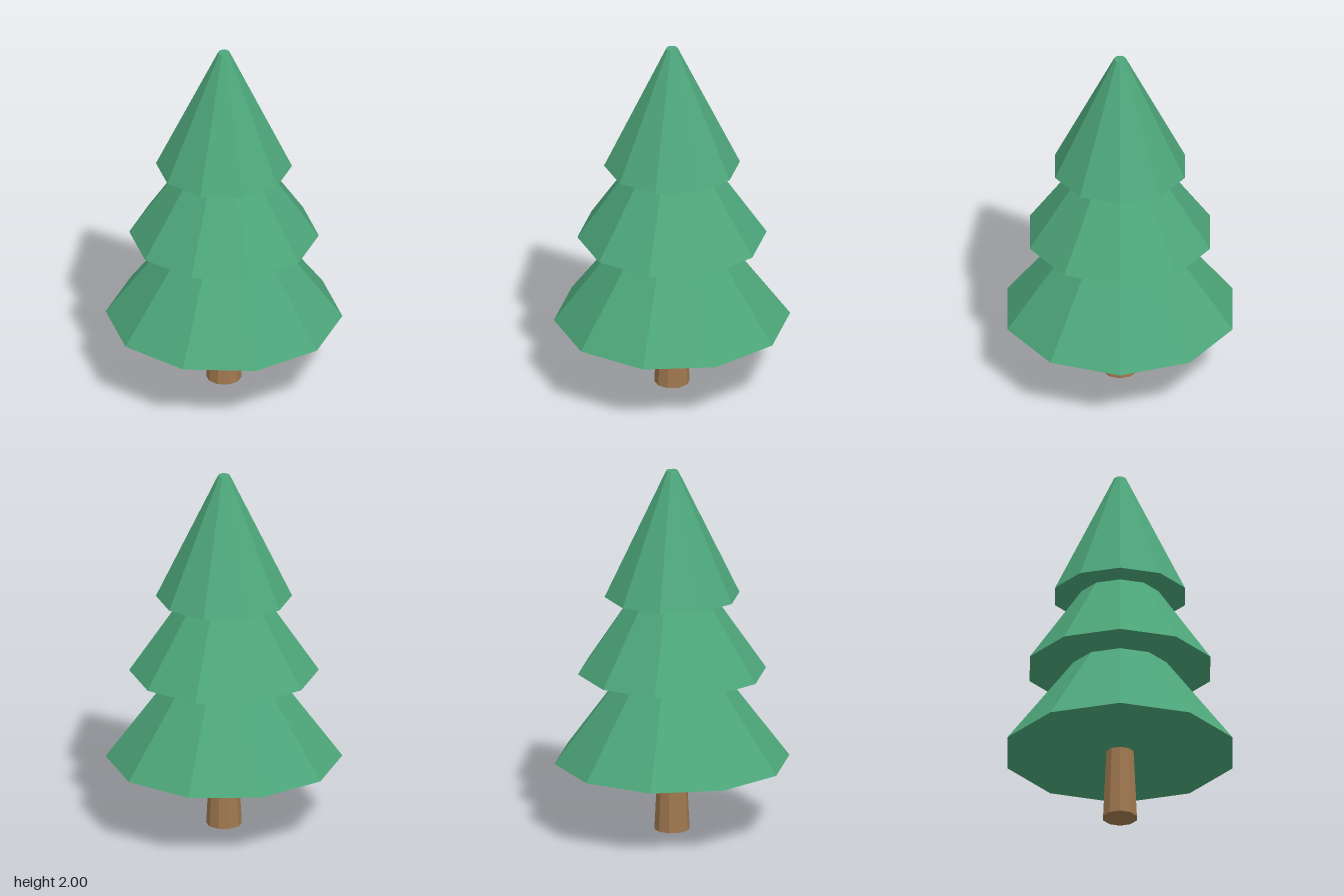
import * as THREE from 'three';

const SIDES = 10;

// Ten-sided tapered prism standing between two heights, with a corner facing +z
function frustum(name, material, bottomY, topY, bottomRadius, topRadius) {
  const height = topY - bottomY;
  const geometry = new THREE.CylinderGeometry(topRadius, bottomRadius, height, SIDES).toNonIndexed();
  geometry.computeVertexNormals(); // flat facets
  const mesh = new THREE.Mesh(geometry, material);
  mesh.name = name;
  mesh.position.y = bottomY + height / 2;
  return mesh;
}

export function createModel() {
  const foliage = new THREE.MeshStandardMaterial({ color: 0x4da67a });
  foliage.name = 'foliage green';
  const bark = new THREE.MeshStandardMaterial({ color: 0xa0784f });
  bark.name = 'bark brown';

  const tree = new THREE.Group();
  tree.name = 'pineTree';

  // Trunk, reaching a little into the lowest tier
  tree.add(frustum('trunk', bark, 0, 0.45, 0.095, 0.073));

  // Overlapping foliage tiers: name, bottom y, top y, bottom radius, top radius
  const tiers = [
    ['lowerTier', 0.385, 1.19, 0.633, 0.03],
    ['middleTier', 0.88, 1.58, 0.507, 0.03],
    ['upperTier', 1.307, 2, 0.364, 0.032],
  ];
  for (const [name, ...size] of tiers) tree.add(frustum(name, foliage, ...size));

  return tree;
}
